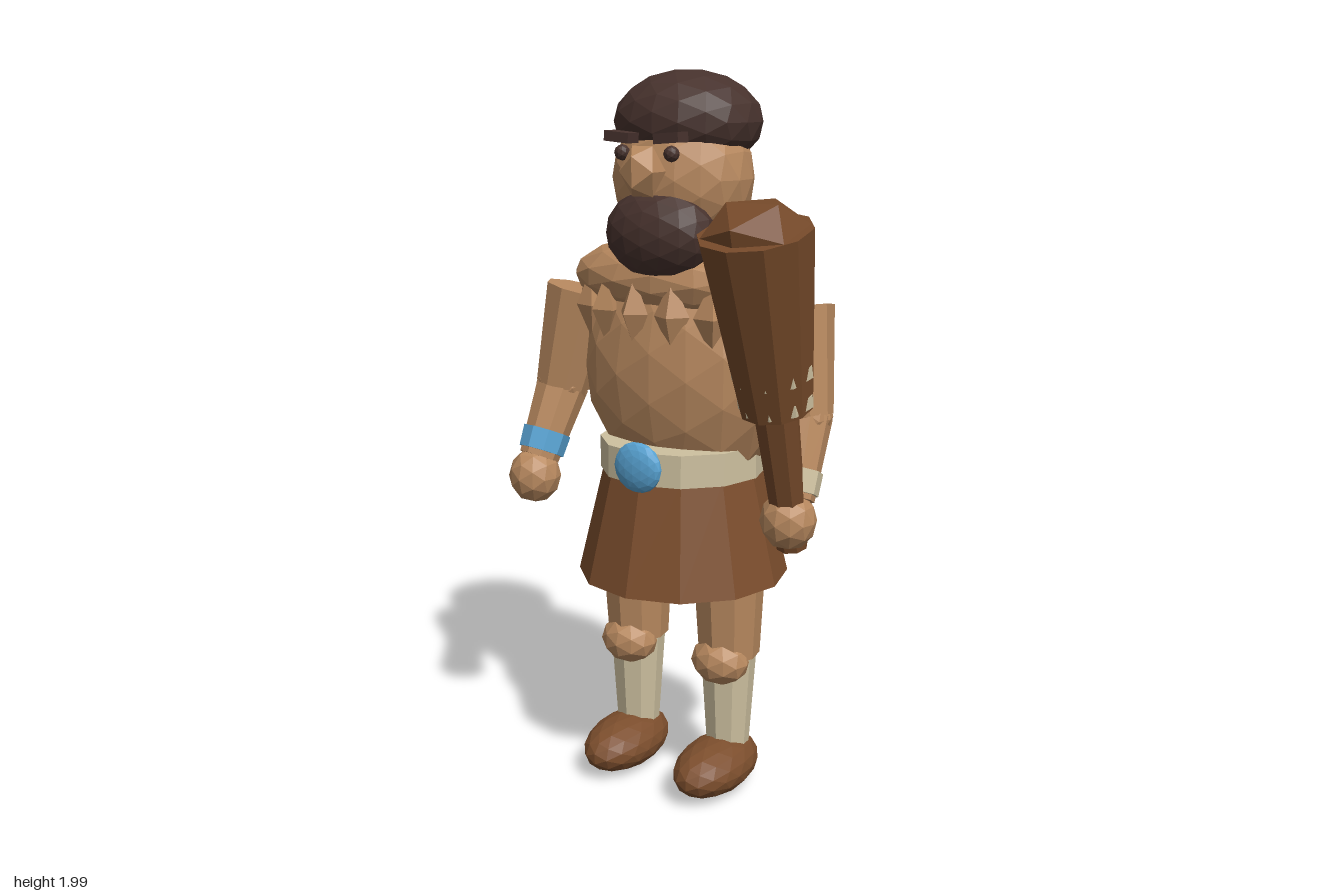
import * as THREE from 'three';

const mat = (name, color) => {
  const m = new THREE.MeshStandardMaterial({ color, flatShading: true });
  m.name = name;
  return m;
};

export function createModel() {
  const skin = mat('skin', 0xb8895f);
  const hairMat = mat('dark hair', 0x47322d);
  const hide = mat('brown hide', 0x7c4e2d);
  const wood = mat('club wood', 0x764a2a);
  const cloth = mat('pale cloth', 0xcec1a0);
  const blue = mat('blue stone', 0x58a3d3);

  const model = new THREE.Group();
  model.name = 'caveman';
  const body = new THREE.Group();
  body.name = 'body';
  body.position.x = -0.035;
  model.add(body);

  const add = (name, geo, material, parent = body) => {
    const mesh = new THREE.Mesh(geo, material);
    mesh.name = name;
    parent.add(mesh);
    return mesh;
  };
  // faceted ellipsoid
  const blob = (name, p, r, material, detail = 1, parent = body) => {
    const mesh = add(name, new THREE.IcosahedronGeometry(1, detail), material, parent);
    mesh.position.set(...p);
    mesh.scale.set(...r);
    return mesh;
  };
  // tapered cylinder between two points
  const limb = (name, from, to, r0, r1, material, sides = 9, parent = body) => {
    const a = new THREE.Vector3(...from), b = new THREE.Vector3(...to);
    const d = b.clone().sub(a);
    const mesh = add(name, new THREE.CylinderGeometry(r1, r0, d.length(), sides), material, parent);
    mesh.position.copy(a).add(b).multiplyScalar(0.5);
    mesh.quaternion.setFromUnitVectors(new THREE.Vector3(0, 1, 0), d.normalize());
    return mesh;
  };

  // head
  blob('head', [0, 1.72, -0.09], [0.197, 0.2, 0.17], skin, 2);
  blob('hair', [0, 1.865, -0.115], [0.205, 0.135, 0.183], hairMat, 2);
  blob('beard', [0, 1.58, 0.025], [0.16, 0.122, 0.1], hairMat, 2);
  blob('nose', [0, 1.745, 0.108], [0.06, 0.075, 0.06], skin, 0);
  for (const s of [-1, 1]) {
    blob('eye', [s * 0.075, 1.79, 0.088], [0.021, 0.021, 0.021], hairMat);
    const brow = add('eyebrow', new THREE.BoxGeometry(0.074, 0.026, 0.05), hairMat);
    brow.position.set(s * 0.075, 1.83, 0.092);
    brow.rotation.z = s * 0.08;
  }

  // torso and shoulder mantle with a ring of points
  blob('torso', [0, 1.2, -0.1], [0.31, 0.34, 0.188], skin, 2);
  blob('shoulders', [0, 1.45, -0.12], [0.357, 0.115, 0.198], skin, 2);
  for (let i = 0; i < 16; i++) {
    const a = ((i + 0.5) / 16) * Math.PI * 2;
    const tuft = blob('mantlePoint',
      [Math.sin(a) * 0.3, 1.37, -0.11 + Math.cos(a) * 0.175],
      [0.05, 0.1, 0.042], skin, 0);
    tuft.geometry = new THREE.OctahedronGeometry(1);
    tuft.rotation.y = a;
  }

  // belt, buckle and skirt
  const belt = add('belt', new THREE.CylinderGeometry(0.232, 0.232, 0.09, 12), cloth);
  belt.position.set(0, 0.965, -0.093);
  blob('buckle', [0, 0.97, 0.138], [0.073, 0.07, 0.028], blue, 2);
  const skirt = add('skirt', new THREE.CylinderGeometry(0.222, 0.296, 0.31, 12), hide);
  skirt.position.set(0, 0.775, -0.093);

  for (const s of [-1, 1]) {
    // legs
    const x = s * 0.153;
    limb('thigh', [x, 0.4, -0.09], [x, 0.68, -0.085], 0.088, 0.104, skin);
    blob('knee', [x, 0.39, -0.045], [0.086, 0.07, 0.073], skin);
    limb('legWrap', [x, 0.1, -0.087], [x, 0.4, -0.087], 0.06, 0.08, cloth);
    blob('shoe', [x, 0.08, -0.025], [0.1, 0.077, 0.17], hide, 2);

    // arms
    const shoulder = [s * 0.335, 1.395, -0.095];
    const elbow = [s * 0.39, 1.12, -0.06];
    const wrist = [s * 0.41, 0.92, 0.035];
    limb('upperArm', elbow, shoulder, 0.078, 0.108, skin);
    blob('elbow', elbow, [0.077, 0.077, 0.077], skin);
    limb('forearm', wrist, elbow, 0.058, 0.076, skin);
    limb('wristband', [s * 0.408, 0.935, 0.027], [s * 0.404, 0.99, 0.002],
      0.066, 0.07, s < 0 ? blue : cloth);
    blob('hand', [s * 0.41, 0.87, 0.055], [0.075, 0.08, 0.075], skin);
  }

  // club leaning forward out of the left hand
  const club = new THREE.Group();
  club.name = 'club';
  club.position.set(0.41, 0.87, 0.05);
  club.rotation.x = 0.26;
  body.add(club);
  limb('clubHandle', [0, -0.08, 0], [0, 0.36, 0], 0.042, 0.06, wood, 8, club);
  limb('clubHead', [0, 0.32, 0], [0, 0.785, 0], 0.093, 0.142, wood, 10, club);
  blob('clubTip', [0, 0.785, 0], [0.132, 0.08, 0.132], wood, 0, club);
  for (const [y, r] of [[0.345, 0.097], [0.425, 0.104]]) {
    const band = limb('clubBand', [0, y - 0.016, -0.006], [0, y + 0.016, -0.006], r, r, cloth, 9, club);
    band.rotation.y = 0.3;
  }
  return model;
}
